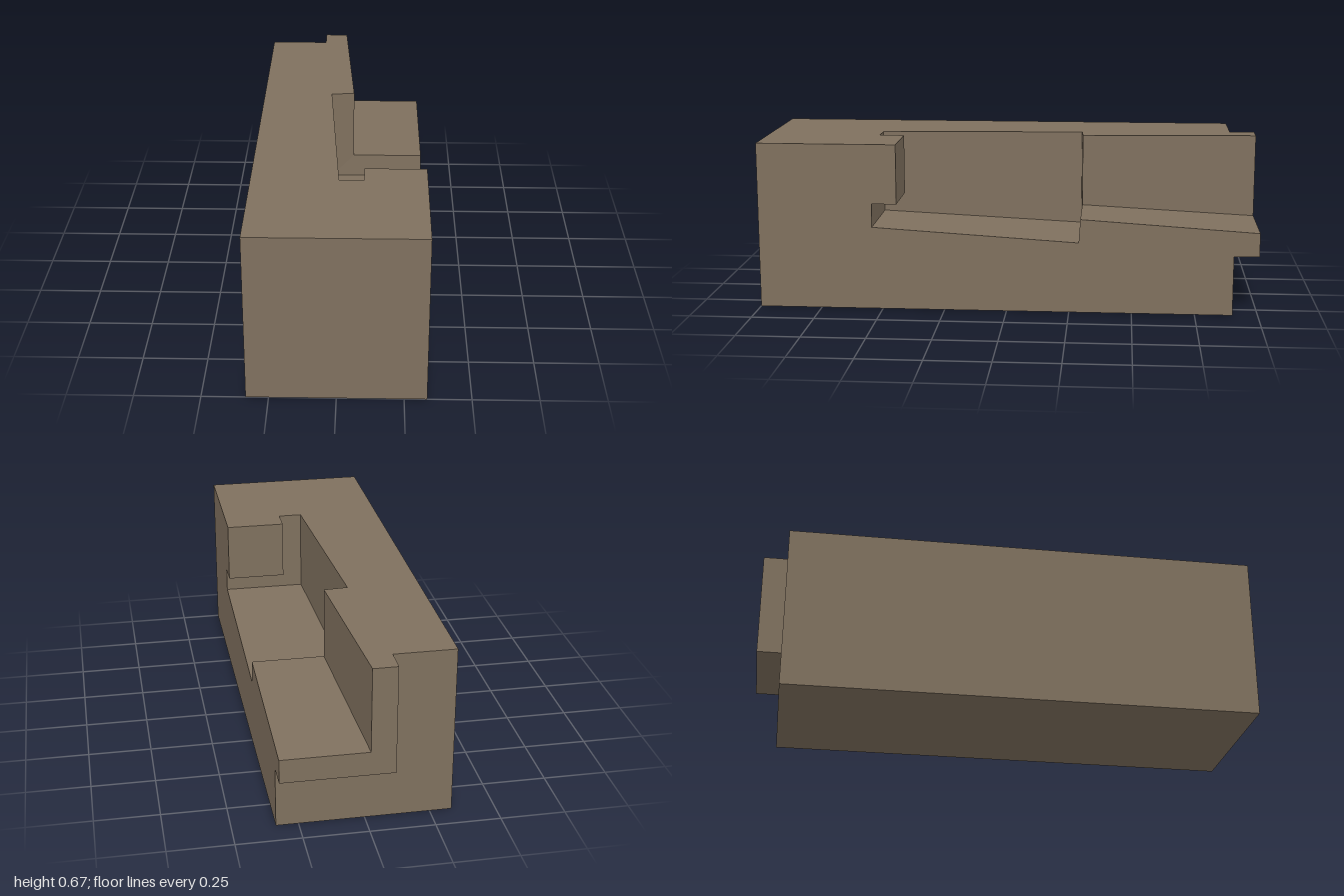
import * as THREE from 'three';

// Half of a hooked scarf joint. Every section is symmetric about its diagonal,
// so each face (x, v, z), with v measured from mid height, is mirrored by swapping x and v.
const h = 0.335;                         // half the beam's thickness
const low = -0.05, high = 0.045;         // heights at the foot and head of the step
const hook = 0.095;                      // thickness of tongue and undercut
const front = 1, back = -1, shoulder = -0.9;
const slotEnd = 0.54, nib = 0.44, stepFoot = -0.287, stepHead = -0.293;

export function createModel() {
  const positions = [];

  // Adds a flat polygon whose corners run counter-clockwise seen from outside
  function face(corners) {
    const pts = corners.map(([x, v, z]) => new THREE.Vector3(x, v + h, z));
    const normal = new THREE.Vector3();
    pts.forEach((p, i) => normal.add(new THREE.Vector3().crossVectors(p, pts[(i + 1) % pts.length])));
    const size = normal.toArray().map(Math.abs);
    const drop = size.indexOf(Math.max(...size));
    const flat = pts.map(p => new THREE.Vector2(...p.toArray().filter((_, i) => i !== drop)));
    for (const [a, b, c] of THREE.ShapeUtils.triangulateShape(flat, [])) {
      const turn = new THREE.Vector3().crossVectors(
        pts[b].clone().sub(pts[a]), pts[c].clone().sub(pts[a])).dot(normal);
      for (const i of turn > 0 ? [a, b, c] : [a, c, b]) positions.push(...pts[i].toArray());
    }
  }

  // Adds a face and its twin across the diagonal
  function pair(corners) {
    face(corners);
    face(corners.map(([x, v, z]) => [v, x, z]).reverse());
  }

  // Faces lying across the beam, seen from the front or from the back
  const frontFace = (z, outline) => face(outline.map(([x, v]) => [x, v, z]));
  const backFace = (z, outline) => frontFace(z, outline.slice().reverse());
  const angle = (outer, inner) =>
    [[outer, outer], [h, outer], [h, inner], [inner, inner], [inner, h], [outer, h]];
  const square = (a, b) => [[a, a], [b, a], [b, b], [a, b]];

  // Notched side and top
  pair([
    [front, -h], [shoulder, -h], [shoulder, -hook], [back, -hook], [back, 0],
    [stepHead, high], [stepFoot, low], [slotEnd, 0], [slotEnd, hook], [nib, hook], [nib, h], [front, h],
  ].map(([z, v]) => [h, v, z]));

  // Plain side and bottom
  pair([[-h, -h, shoulder], [-h, -h, front], [-h, h, front], [-h, h, shoulder]]);

  // Sloping seats and the step between them
  pair([[0, 0, slotEnd], [h, 0, slotEnd], [h, low, stepFoot], [low, low, stepFoot]]);
  pair([[low, low, stepFoot], [h, low, stepFoot], [h, high, stepHead], [high, high, stepHead]]);
  pair([[high, high, stepHead], [h, high, stepHead], [h, 0, back], [0, 0, back]]);

  // Undersides of the tongue and of the overhanging nib
  pair([[-hook, -hook, back], [h, -hook, back], [h, -hook, shoulder], [-hook, -hook, shoulder]]);
  pair([[hook, hook, nib], [h, hook, nib], [h, hook, slotEnd], [hook, hook, slotEnd]]);

  // Ends, shoulder, slot end and nib
  frontFace(front, square(-h, h));
  backFace(shoulder, angle(-h, -hook));
  backFace(back, angle(-hook, 0));
  backFace(slotEnd, angle(0, hook));
  backFace(nib, square(hook, h));

  const geometry = new THREE.BufferGeometry();
  geometry.setAttribute('position', new THREE.Float32BufferAttribute(positions, 3));
  geometry.computeVertexNormals();

  const wood = new THREE.MeshStandardMaterial({ color: 0x7f705e });
  wood.name = 'wood';
  const beam = new THREE.Mesh(geometry, wood);
  beam.name = 'scarfJointBeam';

  const group = new THREE.Group();
  group.name = 'scarfJoint';
  group.add(beam);
  return group;
}
